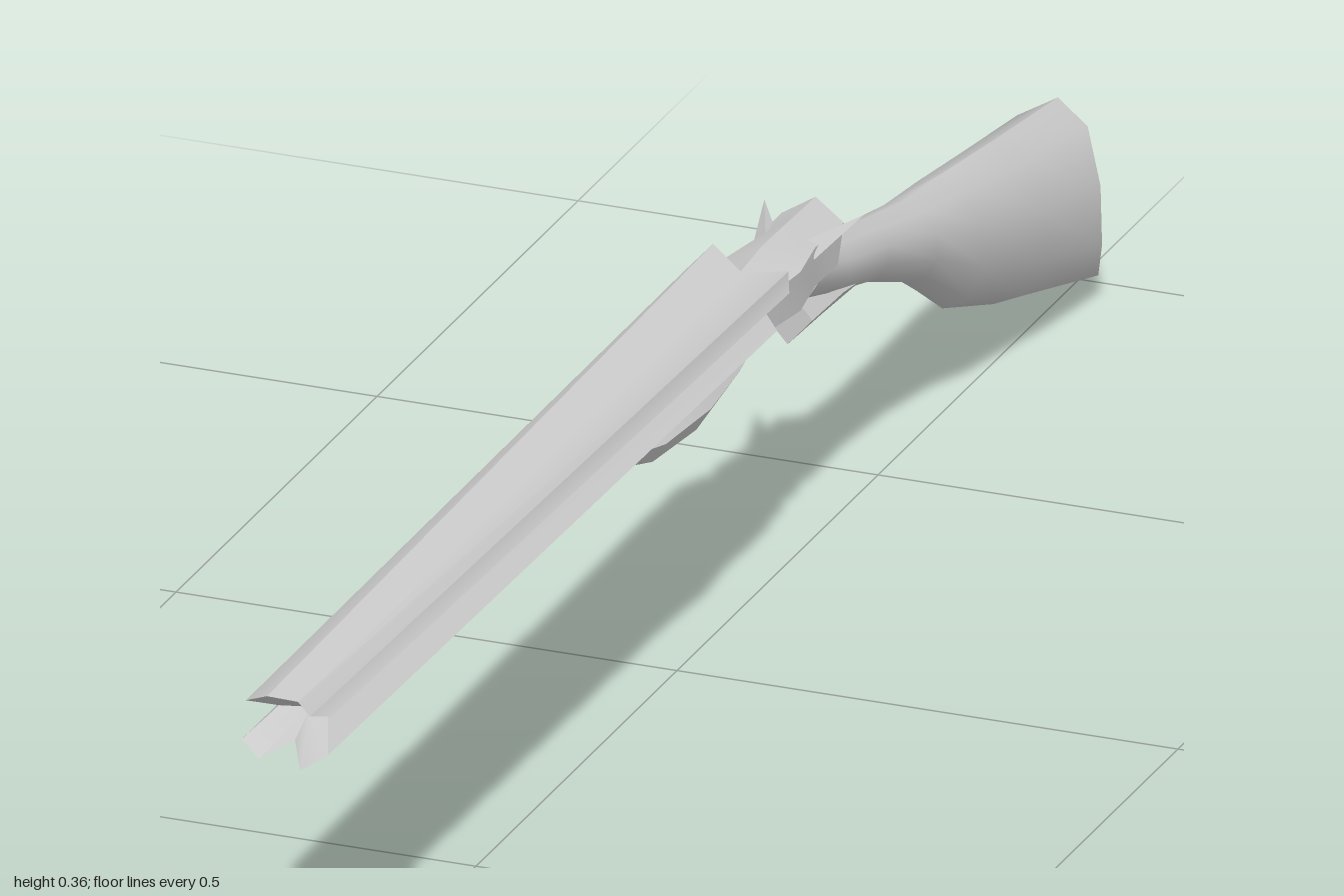
import * as THREE from 'three';
import { toCreasedNormals } from 'three/addons/utils/BufferGeometryUtils.js';

const material = new THREE.MeshStandardMaterial({ color: 0xcccccc, side: THREE.DoubleSide });

// Skins rings of [x, y, z] points (anticlockwise from the front, front to back) and fans the ends;
// frontDepth and backDepth push the middle of each end cap along z.
function loft(name, rings, crease = 0.7, frontDepth = 0, backDepth = 0) {
  const n = rings[0].length, points = rings.flat(), index = [];
  for (let i = 0; i < rings.length - 1; i++) {
    for (let j = 0; j < n; j++) {
      const a = i * n + j, b = i * n + (j + 1) % n;
      index.push(a, a + n, b, b, a + n, b + n);
    }
  }
  const cap = (ring, start, depth, front) => {
    const centre = points.length;
    const mean = [0, 1, 2].map(k => ring.reduce((s, p) => s + p[k], 0) / n);
    points.push([mean[0], mean[1], mean[2] + depth]);
    for (let j = 0; j < n; j++) {
      const a = start + j, b = start + (j + 1) % n;
      index.push(centre, front ? a : b, front ? b : a);
    }
  };
  cap(rings[0], 0, frontDepth, true);
  cap(rings[rings.length - 1], (rings.length - 1) * n, backDepth, false);
  const geometry = new THREE.BufferGeometry();
  geometry.setAttribute('position', new THREE.Float32BufferAttribute(points.flat(), 3));
  geometry.setIndex(index);
  const mesh = new THREE.Mesh(toCreasedNormals(geometry, crease), material);
  mesh.name = name;
  return mesh;
}

// Egg-shaped ring: the widest point sits at fraction `belly` of the height.
function oval(z, bottom, top, halfWidth, cx = 0, sides = 10, belly = 0.5, lean = () => 0) {
  const mid = bottom + (top - bottom) * belly;
  return Array.from({ length: sides }, (_, j) => {
    const a = j / sides * Math.PI * 2 + Math.PI / 2;
    const s = Math.sin(a);
    return [cx + Math.cos(a) * halfWidth, mid + s * (s > 0 ? top - mid : mid - bottom), z + lean(s)];
  });
}

export function createModel() {
  const model = new THREE.Group();

  // Grooved pair of barrels with a ragged muzzle
  const muzzle = [
    [0.045, 0.31, 0.98], [0.025, 0.327, 0.93], [0.045, 0.345, 0.97], [0.035, 0.355, 1.0],
    [0.003, 0.345, 0.95], [-0.02, 0.355, 0.97], [-0.045, 0.343, 0.96], [-0.028, 0.325, 0.92],
    [-0.045, 0.308, 0.97], [-0.02, 0.3, 0.99], [0, 0.306, 0.95], [0.025, 0.299, 1.0],
  ];
  const breech = [
    [0.052, 0.305, -0.12], [0.03, 0.325, -0.13], [0.06, 0.34, -0.13], [0.055, 0.357, -0.14],
    [0.008, 0.349, -0.14], [-0.028, 0.364, -0.16], [-0.05, 0.34, -0.14], [-0.033, 0.322, -0.13],
    [-0.05, 0.3, -0.12], [-0.02, 0.284, -0.1], [0, 0.291, -0.1], [0.03, 0.285, -0.1],
  ];
  model.add(loft('barrels', [muzzle, breech], 0.7, -0.05, 0.02));

  // Boat-shaped fore-end under the barrels
  model.add(loft('foreEnd', [
    oval(0.21, 0.285, 0.315, 0.025, 0, 8),
    oval(0.14, 0.264, 0.32, 0.045, 0, 8),
    oval(0.04, 0.256, 0.322, 0.05, 0, 8),
    oval(-0.05, 0.264, 0.318, 0.043, 0, 8),
    oval(-0.14, 0.276, 0.315, 0.03, 0, 8),
  ]));

  // Faceted receiver, waisted in the middle
  const slant = s => -0.015 * s;
  model.add(loft('receiver', [
    oval(-0.12, 0.272, 0.338, 0.03, 0, 6),
    oval(-0.21, 0.268, 0.346, 0.045, 0, 6),
    oval(-0.27, 0.268, 0.345, 0.034, 0, 6),
    oval(-0.33, 0.27, 0.343, 0.036, 0, 6, 0.5, slant),
  ], 0.35));

  // Pointed hammers flaring from the back of the receiver
  for (const side of [-1, 1]) {
    const hammer = new THREE.Mesh(new THREE.ConeGeometry(0.014, 0.08, 4).toNonIndexed(), material);
    hammer.geometry.computeVertexNormals();
    hammer.name = side > 0 ? 'leftHammer' : 'rightHammer';
    hammer.position.set(side * 0.034, 0.326, -0.305);
    hammer.rotation.set(-1.35, 0, -side * 0.4);
    model.add(hammer);
  }

  // Angular guard below the wrist
  model.add(loft('triggerGuard', [
    oval(-0.275, 0.222, 0.278, 0.025, 0, 4),
    oval(-0.36, 0.219, 0.27, 0.022, 0, 4),
    oval(-0.46, 0.214, 0.24, 0.015, 0, 4),
  ], 0.35));

  // Wrist swelling into the stock, with a hollowed butt
  const butt = s => s > 0 ? -0.04 * s * s : -0.08 * s * s;
  model.add(loft('stock', [
    oval(-0.29, 0.26, 0.318, 0.025),
    oval(-0.36, 0.24, 0.298, 0.03),
    oval(-0.46, 0.212, 0.274, 0.028),
    oval(-0.57, 0.168, 0.25, 0.035, -0.002),
    oval(-0.67, 0.102, 0.238, 0.043, -0.004, 10, 0.52),
    oval(-0.8, 0.055, 0.22, 0.054, -0.005, 10, 0.45),
    oval(-0.92, 0.002, 0.2, 0.06, -0.005, 10, 0.52, butt),
  ], 0.9, 0, 0.03));

  return model;
}
